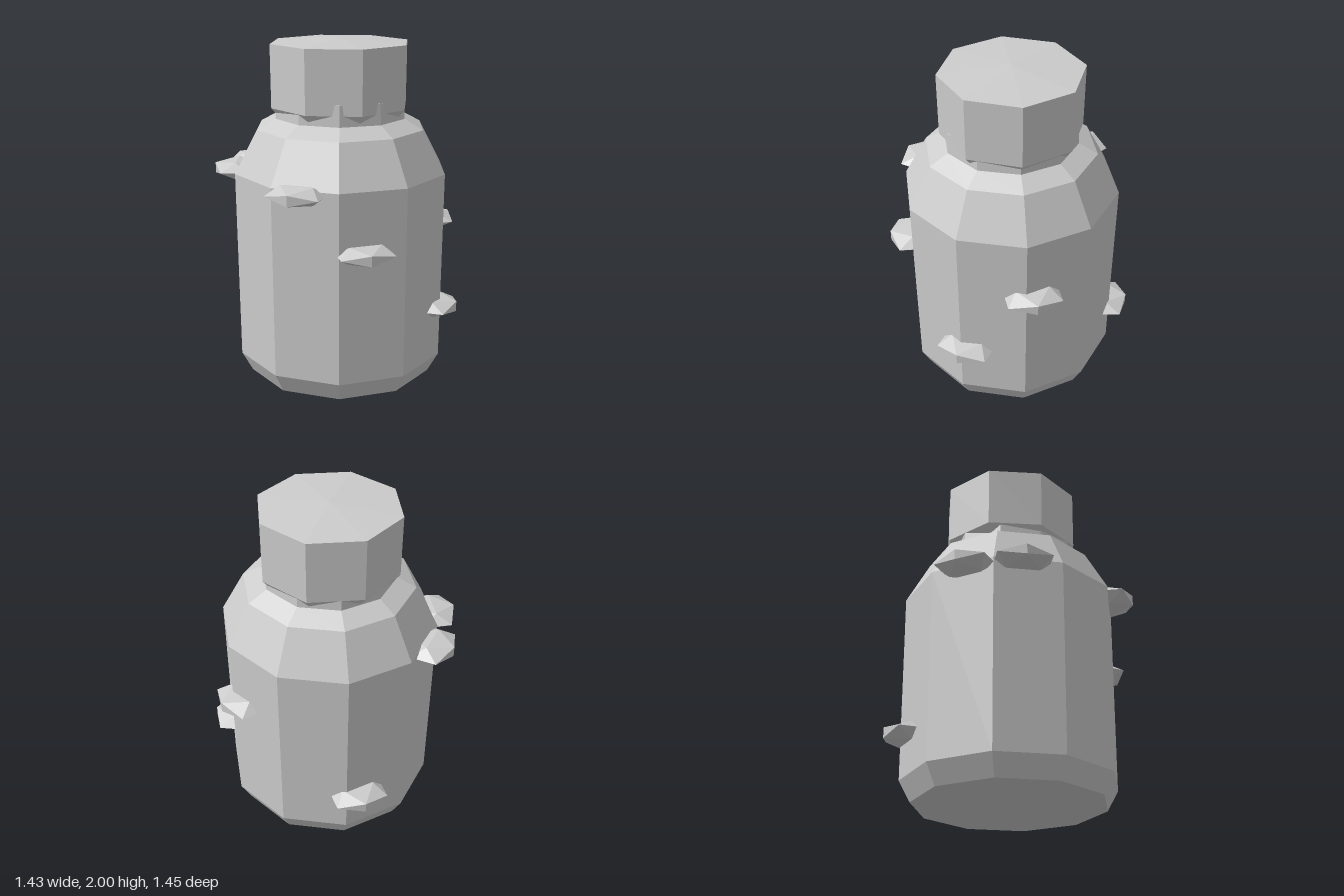
import * as THREE from 'three';

export function createModel() {
  const group = new THREE.Group();
  const grey = new THREE.MeshStandardMaterial({ color: 0xcccccc, flatShading: true });
  grey.name = 'plain grey';

  function add(name, geometry, x, y, z) {
    const mesh = new THREE.Mesh(geometry, grey);
    mesh.name = name;
    mesh.position.set(x, y, z);
    group.add(mesh);
    return mesh;
  }

  // Faceted turned part with a corner on the x axis
  function turned(profile, sides) {
    const points = profile.map(([r, y]) => new THREE.Vector2(r, y));
    return new THREE.LatheGeometry(points, sides, Math.PI / 2).toNonIndexed();
  }

  // Ten-sided jar with sloping shoulder and neck
  add('jarBody', turned([
    [0, 0], [0.56, 0], [0.625, 0.12], [0.635, 1.24],
    [0.5, 1.49], [0.39, 1.55], [0.384, 1.67], [0, 1.68],
  ], 10), -0.015, 0, -0.01);

  // Eight-sided lid with a slight peak and an undercut rim
  add('lid', turned([
    [0, 1.56], [0.37, 1.56], [0.412, 1.61], [0.415, 1.975], [0, 2],
  ], 8), -0.015, 0, -0.015);

  // Flattened faceted knobs around the wall: x, y, z, outward angle from +z
  const knobs = [
    [-0.06, 0.885, 0.585, -0.03],
    [-0.41, 1.215, 0.46, -0.65],
    [-0.59, 1.225, -0.23, -1.9],
    [-0.42, 1.21, -0.5, -2.5],
    [0.1, 0.36, -0.6, 3.0],
    [0.58, 0.865, -0.05, 1.65],
    [0.475, 0.43, 0.32, 0.98],
  ];
  const knob = new THREE.IcosahedronGeometry(1, 0).scale(0.185, 0.059, 0.155);
  knobs.forEach(([x, y, z, angle], i) => {
    add('knob' + (i + 1), knob, x, y, z).rotation.y = angle;
  });

  return group;
}
